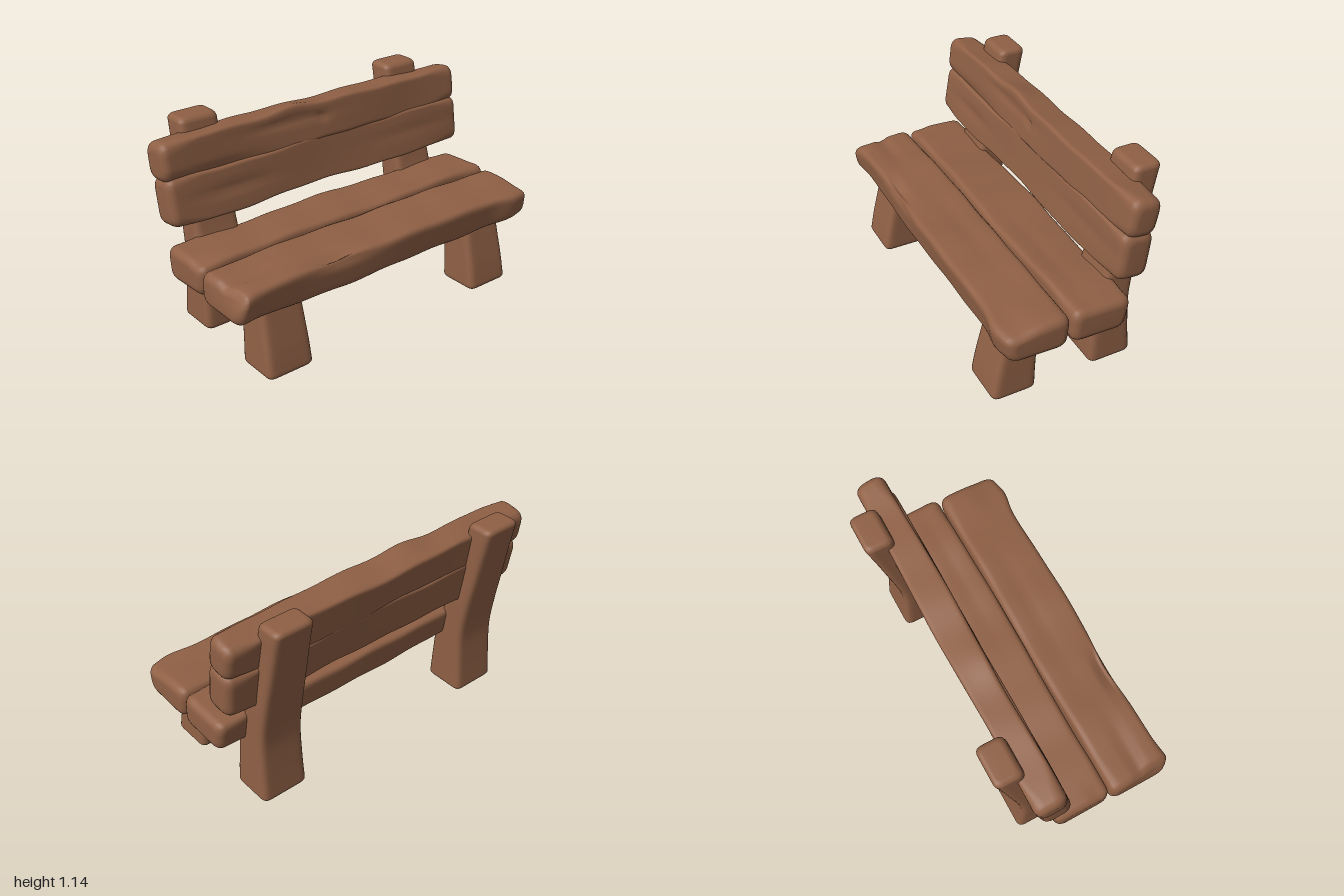
import * as THREE from 'three';

const V = (x, y, z) => new THREE.Vector3(x, y, z);

// Ring of points round a four-cornered section with softened corners
function ring(corners, radius, inset) {
  const cs = corners.map((c, i) => {
    const next = corners[(i + 1) % 4].clone().sub(c).normalize();
    const prev = corners[(i + 3) % 4].clone().sub(c).normalize();
    return c.clone().addScaledVector(next, inset).addScaledVector(prev, inset);
  });
  const r = Math.max(radius - inset * 0.5, 0.012);
  const out = [];
  cs.forEach((c, i) => {
    const n = cs[(i + 1) % 4], p = cs[(i + 3) % 4];
    const a = c.clone().addScaledVector(p.clone().sub(c).normalize(), r);
    const b = c.clone().addScaledVector(n.clone().sub(c).normalize(), r);
    for (let k = 0; k <= 5; k++) {
      const t = k / 5;
      out.push(a.clone().multiplyScalar((1 - t) ** 2)
        .addScaledVector(c, 2 * t * (1 - t)).addScaledVector(b, t * t));
    }
    const stop = n.clone().addScaledVector(c.clone().sub(n).normalize(), r);
    for (let k = 1; k < 8; k++) out.push(b.clone().lerp(stop, k / 8));
  });
  return out;
}

// Solid swept from t = 0 to 1 with rounded ends; section(t) gives its corners
function loft(section, length, { steps, bevel, radius, warp }) {
  const ds = [];
  for (let k = 0; k < 6; k++) ds.push(bevel * (1 - Math.cos((k / 6) * Math.PI / 2)));
  for (let k = 0; k <= steps; k++) ds.push(bevel + (length - 2 * bevel) * k / steps);
  for (let k = 5; k >= 0; k--) ds.push(length - ds[k]);
  const rings = ds.map((d) => {
    const t = d / length, e = Math.min(1, Math.min(d, length - d) / bevel);
    const inset = bevel * (1 - Math.sqrt(Math.max(0, 1 - (1 - e) ** 2)));
    return ring(section(t), radius(t), inset);
  });
  const centre = (pts) => pts.reduce((s, p) => s.add(p), V(0, 0, 0)).divideScalar(pts.length);
  const m = rings[0].length, points = rings.flat(), index = [];
  points.push(centre(rings[0]), centre(rings[rings.length - 1]));
  if (warp) points.forEach(warp);
  const first = rings.length * m, last = (rings.length - 1) * m;
  for (let j = 0; j < m; j++) {
    const k = (j + 1) % m;
    for (let i = 0; i < rings.length - 1; i++) {
      const a = i * m + j, b = i * m + k;
      index.push(a, b, b + m, a, b + m, a + m);
    }
    index.push(first, k, j, first + 1, last + j, last + k);
  }
  const g = new THREE.BufferGeometry().setFromPoints(points);
  g.setIndex(index);
  g.computeVertexNormals();
  return g;
}

// Smooth local bump or dent: centre, reach and push
const dent = (p, c, s, push) => {
  const w = Math.exp(-(((p.x - c[0]) / s[0]) ** 2) - ((p.y - c[1]) / s[1]) ** 2 - ((p.z - c[2]) / s[2]) ** 2);
  p.x += push[0] * w; p.y += push[1] * w; p.z += push[2] * w;
};

export function createModel() {
  const group = new THREE.Group();
  const wood = new THREE.MeshStandardMaterial({ color: 0x8f6045 });
  wood.name = 'brown wood';
  const add = (name, geometry) => {
    const mesh = new THREE.Mesh(geometry, wood);
    mesh.name = name;
    group.add(mesh);
  };

  // Planks: [z, y] corners run front bottom, back bottom, back top, front top
  const plank = (name, zy, x0, x1, seed, radii, dents) => {
    const section = (t) => {
      const x = x0 + (x1 - x0) * t;
      return zy.map(([z, y], i) => V(x,
        y + 0.005 * Math.sin(x * 7 + seed + i * 2) + 0.003 * Math.sin(x * 17 + seed * 3 + i),
        z + 0.005 * Math.sin(x * 5 + seed * 2 + i * 1.7)));
    };
    add(name, loft(section, x1 - x0, {
      steps: 70, bevel: 0.045,
      radius: (t) => radii[0] + (radii[1] - radii[0]) * THREE.MathUtils.smoothstep(Math.abs(t - 0.5), 0.38, 0.49),
      warp: (p) => dents.forEach((d) => dent(p, ...d)),
    }));
  };

  plank('frontSeatPlank', [[0.435, 0.365], [0.115, 0.36], [0.108, 0.55], [0.455, 0.545]], -0.995, 0.985, 1, [0.04, 0.06], [
    [[0.85, 0.48, 0.45], [0.09, 0.15, 0.08], [0, -0.005, 0.025]],
    [[-0.97, 0.48, 0.45], [0.1, 0.15, 0.08], [0, 0, 0.018]],
    [[-0.38, 0.55, 0.41], [0.12, 0.05, 0.02], [0, -0.03, 0]],
    [[-0.35, 0.52, 0.46], [0.16, 0.025, 0.05], [0, 0, -0.015]],
    [[-0.9, 0.55, 0.3], [0.25, 0.06, 0.025], [0, -0.018, 0]],
    [[-1, 0.55, 0.42], [0.06, 0.08, 0.15], [0.03, -0.015, 0]],
    [[0.98, 0.55, 0.4], [0.22, 0.06, 0.1], [0, -0.025, 0]],
    [[0.1, 0.55, 0.25], [0.4, 0.06, 0.04], [0, -0.007, 0]],
  ]);
  plank('backSeatPlank', [[0.104, 0.375], [-0.205, 0.36], [-0.232, 0.54], [0.1, 0.56]], -0.985, 0.99, 4, [0.035, 0.055], [
    [[-0.97, 0.55, 0.05], [0.08, 0.08, 0.05], [0, -0.015, 0]],
    [[0.5, 0.55, -0.02], [0.4, 0.06, 0.03], [0, -0.007, 0]],
  ]);
  plank('lowerBackPlank', [[-0.125, 0.66], [-0.3, 0.645], [-0.337, 0.89], [-0.165, 0.915]], -0.98, 0.985, 2.5, [0.018, 0.055], [
    [[0, 0.65, -0.2], [0.5, 0.05, 0.3], [0, 0.012, 0]],
    [[-0.6, 0.79, -0.14], [0.2, 0.025, 0.05], [0, 0, -0.012]],
    [[0.6, 0.8, -0.14], [0.3, 0.03, 0.05], [0, 0, -0.006]],
  ]);
  plank('upperBackPlank', [[-0.165, 0.895], [-0.332, 0.875], [-0.365, 1.075], [-0.195, 1.1]], -0.99, 0.99, 0.6, [0.022, 0.06], [
    [[-0.2, 1.1, -0.2], [0.16, 0.06, 0.12], [0, 0.024, 0]],
    [[-0.2, 1.035, -0.17], [0.22, 0.016, 0.06], [0, 0, -0.016]],
    [[0, 1.015, -0.17], [0.03, 0.015, 0.06], [0, 0, -0.016]],
    [[-0.7, 0.91, -0.17], [0.3, 0.025, 0.05], [0, 0, -0.012]],
  ]);

  // Legs: keys are [y, front z, back z, inner x, outer x] from the foot up
  const leg = (name, side, keys, tilt) => {
    const span = (col) => new THREE.CatmullRomCurve3(keys.map((k) => V(k[col], k[0], 0)));
    const curves = [1, 2, 3, 4].map(span);
    const section = (t) => {
      const [zf, zb, xi, xo] = curves.map((c) => c.getPoint(t).x);
      const y = curves[0].getPoint(t).y;
      const [xa, xb] = side > 0 ? [xi, xo] : [-xo, -xi];
      return [V(xa, y, zf), V(xb, y, zf), V(xb, y, zb), V(xa, y, zb)];
    };
    const length = keys[keys.length - 1][0] - keys[0][0];
    add(name, loft(section, length, { steps: 24, bevel: 0.03, radius: () => 0.04, warp: tilt }));
  };
  const frontKeys = [
    [0.005, 0.46, 0.212, 0.56, 0.838], [0.14, 0.435, 0.205, 0.563, 0.832],
    [0.28, 0.402, 0.193, 0.567, 0.825], [0.42, 0.37, 0.175, 0.572, 0.818],
  ];
  const backKeys = [
    [0.018, -0.108, -0.358, 0.558, 0.836], [0.21, -0.12, -0.343, 0.56, 0.83],
    [0.4, -0.14, -0.337, 0.56, 0.825], [0.58, -0.195, -0.362, 0.56, 0.82],
    [0.77, -0.24, -0.4, 0.563, 0.812], [0.96, -0.285, -0.438, 0.567, 0.803],
    [1.147, -0.323, -0.478, 0.57, 0.797],
  ];
  for (const [label, side] of [['left', 1], ['right', -1]]) {
    leg(label + 'FrontLeg', side, frontKeys);
    leg(label + 'BackPost', side, backKeys, (p) => { if (p.y > 1.1) p.y -= 0.06 * Math.max(0, -0.44 - p.z); });
  }
  return group;
}
